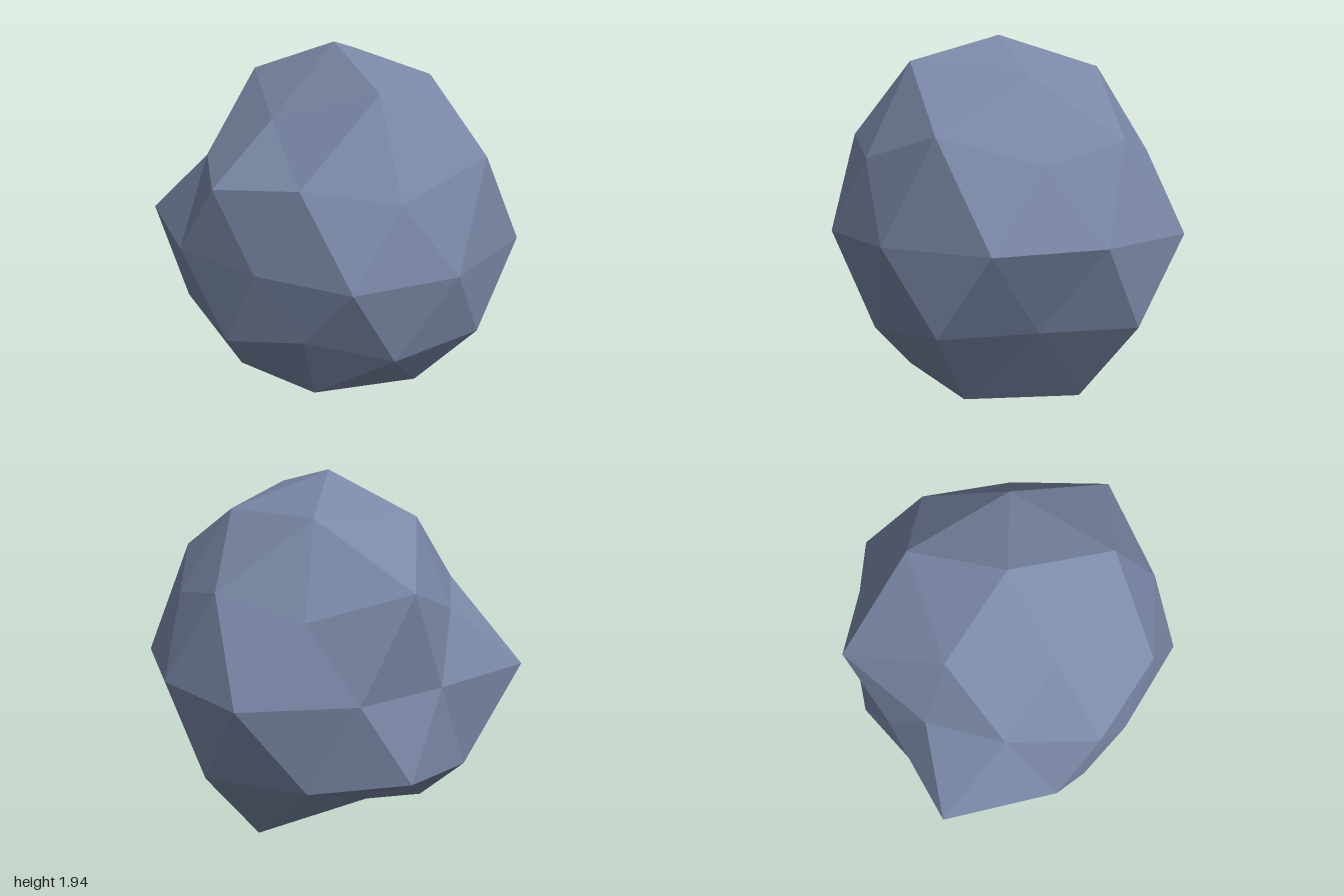
import * as THREE from 'three';

// Faceted boulder: a once-subdivided icosahedron whose points are pushed in or out from its centre.
const CENTRE = new THREE.Vector3(0.02, 0.9, -0.03);
const RING = Math.atan(0.5);            // latitude of the icosahedron's own corners
const MID = Math.asin(0.5257);          // latitude of midpoints between two ring corners
const CAP = Math.asin(0.8507);          // latitude of midpoints next to a pole

// Each ring: latitude(s) used in turn, first azimuth in degrees, distance of every point from the centre
const RINGS = [
  { lat: [Math.PI / 2], start: 0, r: [1.045] },
  { lat: [CAP], start: 0, r: [1.0, 1.07, 0.83, 0.975, 1.028] },
  { lat: [RING, MID], start: 0, r: [0.91, 1.065, 0.93, 0.945, 0.932, 0.82, 0.8, 1.05, 0.92, 0.965] },
  { lat: [0], start: 18, r: [1.03, 0.96, 0.94, 0.815, 0.905, 1.07, 0.81, 0.885, 1.05, 0.974] },
  { lat: [-MID, -RING], start: 0, r: [0.863, 1.01, 0.933, 0.84, 0.915, 0.935, 0.96, 1.0, 0.945, 1.03] },
  { lat: [-CAP], start: 36, r: [1.02, 0.965, 1.042, 0.825, 1.055] },
  { lat: [-Math.PI / 2], start: 0, r: [0.81] },
];

function boulderGeometry() {
  const positions = [];
  const rings = RINGS.map(({ lat, start, r }) => r.map((radius, j) => {
    const a = THREE.MathUtils.degToRad(start + (360 / r.length) * j);
    const l = lat[j % lat.length];
    const p = new THREE.Vector3(Math.cos(l) * Math.cos(a), Math.sin(l), Math.cos(l) * Math.sin(a));
    p.multiplyScalar(radius).add(CENTRE);
    return positions.push(p.x, p.y, p.z) / 3 - 1;
  }));
  const at = (ring, j) => rings[ring][(j + rings[ring].length) % rings[ring].length];
  const index = [];

  // Caps around both poles, and the bands from five points to ten
  for (let k = 0; k < 5; k++) {
    index.push(at(0, 0), at(1, k + 1), at(1, k));
    index.push(at(1, k), at(1, k + 1), at(2, 2 * k + 1));
    index.push(at(1, k), at(2, 2 * k), at(2, 2 * k - 1));
    index.push(at(1, k), at(2, 2 * k + 1), at(2, 2 * k));

    index.push(at(6, 0), at(5, k), at(5, k + 1));
    index.push(at(5, k + 1), at(5, k), at(4, 2 * k + 2));
    index.push(at(5, k), at(4, 2 * k), at(4, 2 * k + 1));
    index.push(at(5, k), at(4, 2 * k + 1), at(4, 2 * k + 2));
  }
  // Zigzag bands above and below the equator
  for (let j = 0; j < 10; j++) {
    index.push(at(2, j), at(2, j + 1), at(3, j));
    index.push(at(2, j), at(3, j), at(3, j - 1));
    index.push(at(4, j + 1), at(4, j), at(3, j));
    index.push(at(4, j), at(3, j - 1), at(3, j));
  }

  const indexed = new THREE.BufferGeometry();
  indexed.setAttribute('position', new THREE.Float32BufferAttribute(positions, 3));
  indexed.setIndex(index);
  const geometry = indexed.toNonIndexed();
  geometry.computeVertexNormals();
  return geometry;
}

export function createModel() {
  const stone = new THREE.MeshStandardMaterial({ color: 0x7a88a6, flatShading: true });
  stone.name = 'blue grey stone';

  const boulder = new THREE.Mesh(boulderGeometry(), stone);
  boulder.name = 'boulder';

  const model = new THREE.Group();
  model.name = 'rock';
  model.add(boulder);
  return model;
}
